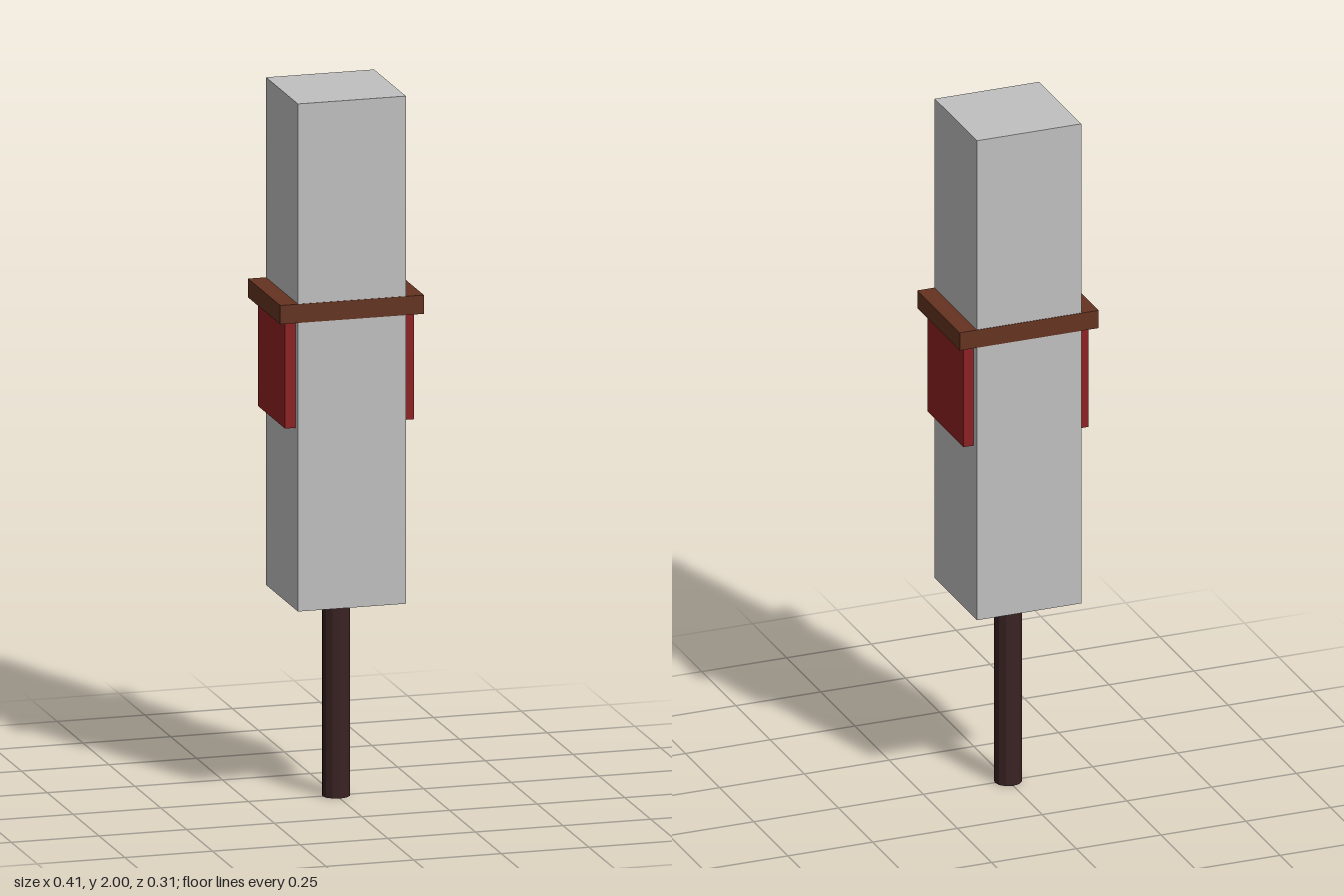
import * as THREE from 'three';

const material = (name, color) => {
  const m = new THREE.MeshStandardMaterial({ color, flatShading: true });
  m.name = name;
  return m;
};

export function createModel() {
  const model = new THREE.Group();
  model.name = 'bannerPost';

  const stone = material('pale grey', 0xc0c0c0);
  const wood = material('brown wood', 0x653321);
  const darkWood = material('dark wood', 0x3a2222);
  const cloth = material('red cloth', 0x8e2123);

  const add = (name, geometry, mat, x, y, z = 0) => {
    const mesh = new THREE.Mesh(geometry, mat);
    mesh.name = name;
    mesh.position.set(x, y, z);
    model.add(mesh);
  };
  const box = (name, mat, w, y0, y1, d, x = 0) =>
    add(name, new THREE.BoxGeometry(w, y1 - y0, d), mat, x, (y0 + y1) / 2);

  // Slim pole under the square block
  add('pole', new THREE.CylinderGeometry(0.039, 0.039, 0.58, 12), darkWood, 0, 0.29);
  box('block', stone, 0.308, 0.567, 2, 0.308);

  // Crossbar passing through the block, a hair proud of its faces
  box('crossbar', wood, 0.41, 1.382, 1.435, 0.311);

  // Hanging cloth panel on each side
  for (const side of [1, -1]) {
    box(side > 0 ? 'leftBanner' : 'rightBanner', cloth, 0.04, 1.08, 1.383, 0.262, side * 0.164);
  }

  return model;
}
